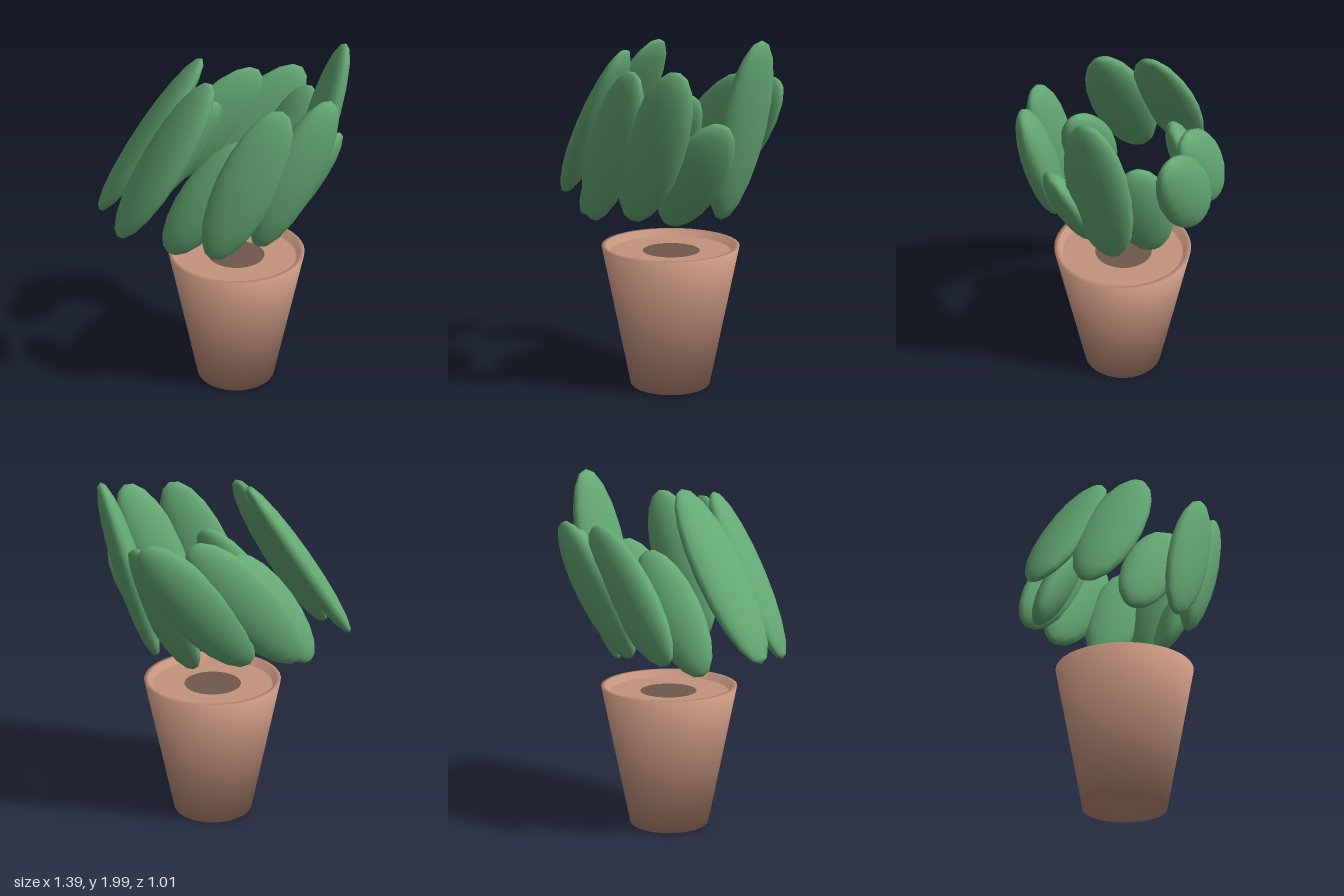
import * as THREE from 'three';

const mat = (name, color) => {
  const m = new THREE.MeshStandardMaterial({ color });
  m.name = name;
  return m;
};

// Turned body whose normals blend evenly across every edge of the profile
function softLathe(points, segments) {
  const profile = points.map(([r, y]) => new THREE.Vector2(r, y));
  const sides = profile.slice(1).map((p, i) => {
    const d = p.clone().sub(profile[i]).normalize();
    return new THREE.Vector2(d.y, -d.x);
  });
  const last = profile.length - 1;
  const normals = profile.map((p, i) =>
    sides[Math.max(i - 1, 0)].clone().add(sides[Math.min(i, last - 1)]).normalize());
  const geometry = new THREE.LatheGeometry(profile, segments);
  const normal = geometry.attributes.normal;
  for (let i = 0; i < normal.count; i++) {
    const n = normals[i % profile.length];
    const a = (Math.floor(i / profile.length) / segments) * Math.PI * 2;
    normal.setXYZ(i, n.x * Math.sin(a), n.y, n.x * Math.cos(a));
  }
  return geometry;
}

export function createModel() {
  const group = new THREE.Group();
  group.name = 'pottedPlant';
  const terracotta = mat('terracotta', 0xc4937d);
  const soilBrown = mat('soil brown', 0x6f594d);
  const leafGreen = mat('leaf green', 0x65aa75);

  const add = (name, geometry, material, x, y, z) => {
    const mesh = new THREE.Mesh(geometry, material);
    mesh.name = name;
    mesh.position.set(x, y, z);
    group.add(mesh);
    return mesh;
  };

  // Tapered pot with a thin rim, shallow inner floor and recessed base
  const potX = 0.073;
  const pot = softLathe([
    [0, 0.08], [0.2, 0.08], [0.227, 0], [0.387, 0.81],
    [0.362, 0.81], [0.345, 0.772], [0.335, 0.772], [0, 0.772],
  ], 40);
  add('pot', pot, terracotta, potX, 0, 0);

  // Round soil patch in the middle of the pot
  const soil = new THREE.CircleGeometry(0.16, 40).rotateX(-Math.PI / 2);
  add('soil', soil, soilBrown, potX, 0.776, -0.005);

  // Ring of flattened leaves, each turned outward and then leaned toward +x
  // centre x, y, z, half length, half width, half thickness, facing, lean (degrees)
  const leaves = [
    [-0.398, 1.505, -0.08, 0.525, 0.18, 0.07, -90, 34],
    [-0.345, 1.47, 0.19, 0.505, 0.175, 0.078, -70, 31],
    [-0.125, 1.285, 0.29, 0.376, 0.15, 0.08, -35, 35],
    [0.07, 1.415, 0.43, 0.458, 0.168, 0.073, 0, 23.6],
    [0.33, 1.435, 0.362, 0.455, 0.168, 0.09, 24, 24],
    [0.42, 1.272, 0.15, 0.358, 0.165, 0.078, 57, 33],
    [0.535, 1.495, -0.075, 0.518, 0.18, 0.078, 92, 15.5],
    [0.37, 1.33, -0.258, 0.385, 0.155, 0.072, 130, 24],
    [0.215, 1.395, -0.42, 0.44, 0.17, 0.08, 167, 40],
    [-0.045, 1.395, -0.413, 0.445, 0.168, 0.08, 180, 41],
    [-0.22, 1.3, -0.255, 0.38, 0.15, 0.08, -145, 35],
  ];
  const leafShape = new THREE.SphereGeometry(1, 16, 10);
  const rad = THREE.MathUtils.degToRad;
  leaves.forEach(([x, y, z, length, width, thickness, facing, lean], i) => {
    const leaf = add(`leaf${i + 1}`, leafShape, leafGreen, x, y, z);
    leaf.scale.set(width, length, thickness);
    leaf.rotation.set(0, rad(facing), -rad(lean), 'ZYX');
  });

  return group;
}
